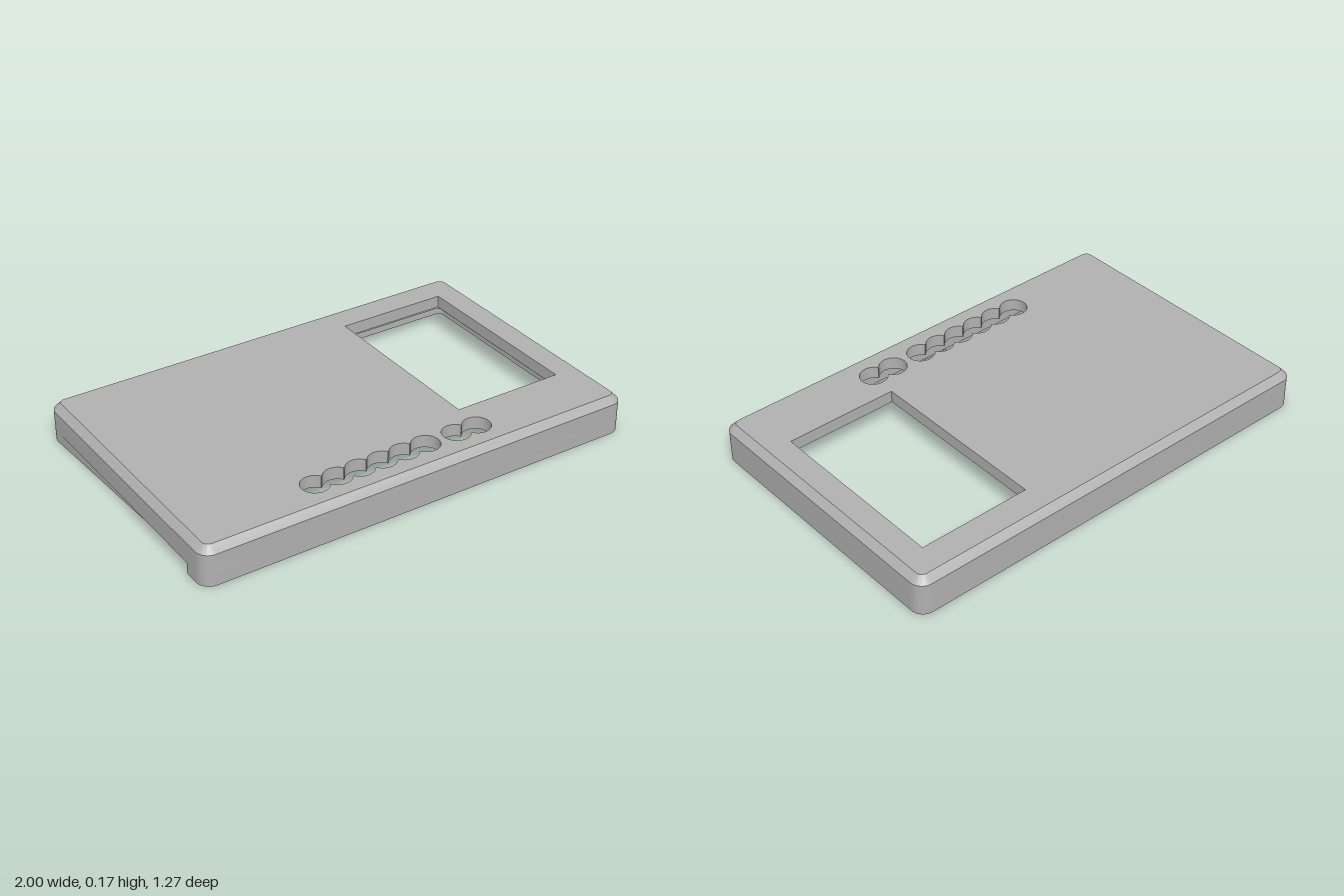
import * as THREE from 'three';
import { toCreasedNormals } from 'three/addons/utils/BufferGeometryUtils.js';

const W = 1, D = 0.634, R = 0.058;            // half width, half depth, corner radius
const LIP_TOP = 0.05, CEILING = 0.115, SHOULDER = 0.14, TOP = 0.17;
const PI = Math.PI;

// Rounded rectangle centred on the origin; shape y is used as world z
function roundedRect(w, d, r, Type = THREE.Shape) {
  const p = new Type();
  p.absarc(w - r, d - r, r, 0, PI / 2);
  p.absarc(-w + r, d - r, r, PI / 2, PI);
  p.absarc(-w + r, -d + r, r, PI, PI * 1.5);
  p.absarc(w - r, -d + r, r, PI * 1.5, PI * 2);
  p.closePath();
  return p;
}

// Chain of overlapping round holes
function holeChain(x0, step, n, z, r) {
  const p = new THREE.Path(), b = Math.asin(0.034 / r);
  const x = i => x0 + i * step;
  p.absarc(x0, z, r, b, 2 * PI - b);
  for (let i = 1; i < n - 1; i++) p.absarc(x(i), z, r, PI + b, 2 * PI - b);
  p.absarc(x(n - 1), z, r, PI + b, 3 * PI - b);
  for (let i = n - 2; i > 0; i--) p.absarc(x(i), z, r, b, PI - b);
  p.closePath();
  return p;
}

// Horizontal slab between two heights
function slab(shape, y0, y1) {
  const g = new THREE.ExtrudeGeometry(shape, { depth: y1 - y0, bevelEnabled: false, curveSegments: 10 });
  g.rotateX(PI / 2).translate(0, y1, 0);
  return toCreasedNormals(g, 0.6);
}

// Sloping band between two outlines with equal point counts
function band(lower, y0, upper, y1) {
  const a = lower.getPoints(10), b = upper.getPoints(10), pos = [];
  for (let i = 0; i < a.length; i++) {
    const j = (i + 1) % a.length;
    const la = [a[i].x, y0, a[i].y], lb = [a[j].x, y0, a[j].y];
    const ua = [b[i].x, y1, b[i].y], ub = [b[j].x, y1, b[j].y];
    pos.push(...la, ...ua, ...lb, ...lb, ...ua, ...ub);
  }
  const g = new THREE.BufferGeometry();
  g.setAttribute('position', new THREE.Float32BufferAttribute(pos, 3));
  return toCreasedNormals(g, 0.6);
}

// Thin lower lip: open on the left-hand side for a cable, with a catch recess front and back
function lipShape() {
  const s = new THREE.Shape(), t = 0.03, w = W - t, d = D - t, r = R - t;
  const z0 = 0.11, z1 = 0.51, c = 0.015;
  s.moveTo(-W, z0);
  s.absarc(-W + R, -D + R, R, PI, PI * 1.5);
  s.absarc(W - R, -D + R, R, PI * 1.5, PI * 2);
  s.absarc(W - R, D - R, R, 0, PI / 2);
  s.absarc(-W + R, D - R, R, PI / 2, PI);
  s.lineTo(-W, z1);
  s.lineTo(-w, z1);
  s.absarc(-w + r, d - r, r, PI, PI / 2, true);
  for (const [x, z] of [[-0.13, d], [-0.13, d + c], [0.1, d + c], [0.1, d]]) s.lineTo(x, z);
  s.absarc(w - r, d - r, r, PI / 2, 0, true);
  s.absarc(w - r, -d + r, r, 0, -PI / 2, true);
  for (const [x, z] of [[0.1, -d], [0.1, -d - c], [-0.13, -d - c], [-0.13, -d]]) s.lineTo(x, z);
  s.absarc(-w + r, -d + r, r, PI * 1.5, PI, true);
  s.lineTo(-w, z0);
  s.closePath();
  return s;
}

export function createModel() {
  const model = new THREE.Group();
  model.name = 'caseLid';
  const grey = new THREE.MeshStandardMaterial({ color: 0xb0b0b0 });
  grey.name = 'grey plastic';
  const add = (name, geometry) => {
    const m = new THREE.Mesh(geometry, grey);
    m.name = name;
    model.add(m);
  };

  // Top plate with the display window and button holes
  const plate = roundedRect(W - 0.03, D - 0.03, 0.028);
  const win = new THREE.Path();
  win.moveTo(0.36, -0.484).lineTo(0.866, -0.484).lineTo(0.866, 0.352).lineTo(0.36, 0.352).closePath();
  plate.holes.push(win,
    holeChain(-0.422, 0.104, 6, 0.486, 0.06),
    holeChain(0.247, 0.102, 2, 0.486, 0.06));
  add('topPlate', slab(plate, CEILING, TOP));

  // Chamfer between the side wall and the top
  add('chamfer', band(roundedRect(W, D, R), SHOULDER, roundedRect(W - 0.03, D - 0.03, 0.028), TOP));

  // Thick side wall
  const wall = roundedRect(W, D, R);
  wall.holes.push(roundedRect(W - 0.062, D - 0.062, 0.02, THREE.Path));
  add('sideWall', slab(wall, LIP_TOP, SHOULDER));

  // Stepped lip under the wall
  add('lowerLip', slab(lipShape(), 0, LIP_TOP));
  return model;
}
